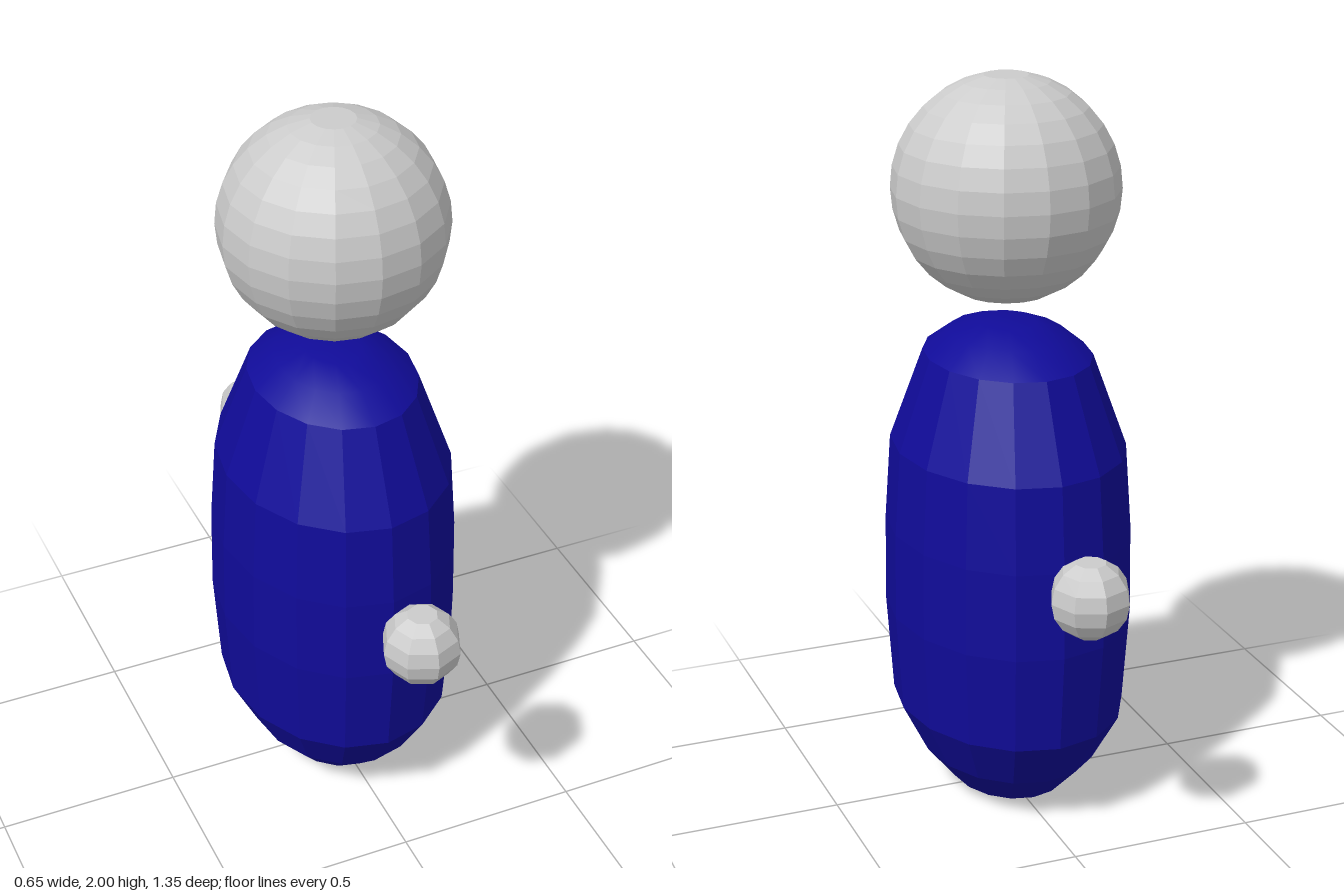
import * as THREE from 'three';

const grey = new THREE.MeshStandardMaterial({ color: 0xcccccc, flatShading: true });
const blue = new THREE.MeshStandardMaterial({ color: 0x100b99, flatShading: true });
const smoothBlue = new THREE.MeshStandardMaterial({ color: 0x100b99 });

function lathe(name, profile, segments, material) {
  const points = profile.map(([r, y]) => new THREE.Vector2(r, y));
  const mesh = new THREE.Mesh(new THREE.LatheGeometry(points, segments), material);
  mesh.name = name;
  return mesh;
}

// Faceted ball whose poles are cut flat at the first and last ring
function ball(name, radius, segments, rings) {
  const profile = [];
  for (let i = 1; i < rings; i++) {
    const a = Math.PI * i / rings;
    profile.push([radius * Math.sin(a), -radius * Math.cos(a)]);
  }
  const cap = profile[rings - 2][1];
  return lathe(name, [[0, -cap], ...profile, [0, cap]], segments, grey);
}

export function createModel() {
  const model = new THREE.Group();

  // Head floating above the body
  const head = ball('head', 0.3, 16, 16);
  head.position.set(0.007, 1.706, -0.017);
  model.add(head);

  // Oval body, deeper than it is wide
  const body = new THREE.Group();
  body.name = 'body';
  body.add(lathe('torso', [
    [0, 0.005], [0.08, 0.005], [0.155, 0.032], [0.235, 0.13], [0.305, 0.27],
    [0.323, 0.54], [0.32, 0.78], [0.305, 1.012], [0.218, 1.26],
  ], 16, blue));
  body.add(lathe('shoulderDome', [
    [0.218, 1.26], [0.15, 1.316], [0.075, 1.345], [0, 1.345],
  ], 16, smoothBlue));
  body.scale.z = 1.255;
  body.position.z = -0.008;
  model.add(body);

  // Hands floating in front of and behind the body
  for (const [name, z] of [['frontHand', 0.57], ['backHand', -0.57]]) {
    const hand = ball(name, 0.106, 8, 8);
    hand.position.set(-0.003, 0.777, z);
    model.add(hand);
  }
  return model;
}
